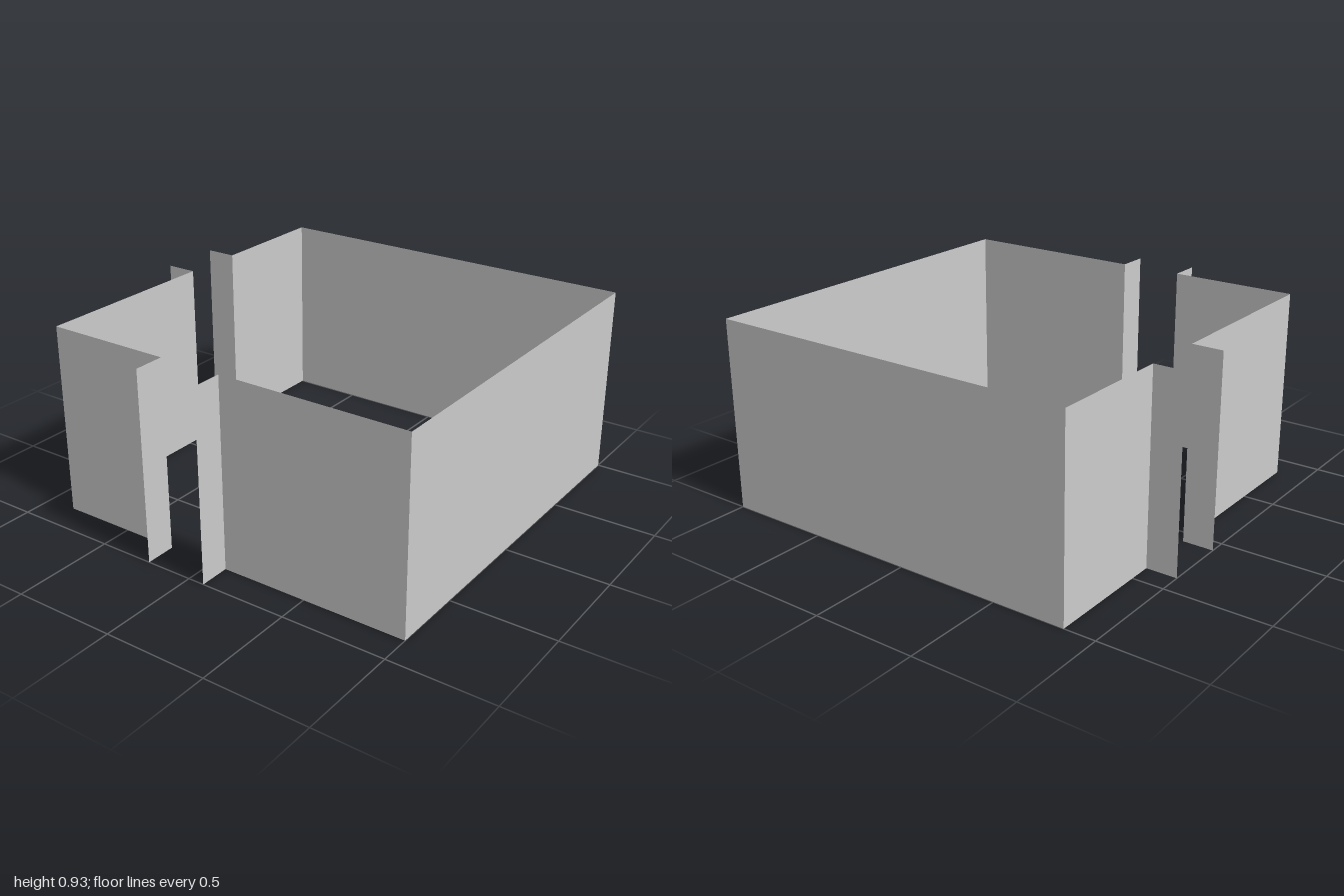
import * as THREE from 'three';

const HEIGHT = 0.925;
const material = new THREE.MeshStandardMaterial({ color: 0xcccccc, flatShading: true, side: THREE.DoubleSide });

// Thin upright panel between two floor points [x, z]
function panel(name, [x0, z0], [x1, z1]) {
  const geometry = new THREE.PlaneGeometry(Math.hypot(x1 - x0, z1 - z0), HEIGHT);
  const mesh = new THREE.Mesh(geometry, material);
  mesh.name = name;
  mesh.position.set((x0 + x1) / 2, HEIGHT / 2, (z0 + z1) / 2);
  mesh.rotation.y = -Math.atan2(z1 - z0, x1 - x0);
  return mesh;
}

// Run of panels along a floor path, one name per panel
function wallRun(name, path, names) {
  const group = new THREE.Group();
  group.name = name;
  names.forEach((n, i) => group.add(panel(n, path[i], path[i + 1])));
  return group;
}

export function createModel() {
  const model = new THREE.Group();
  model.name = 'walledEnclosure';

  // Long run round the front, ending in a doorway jamb at each end
  model.add(wallRun('mainWalls',
    [[-1, 0.08], [-0.85, 0.08], [-0.85, 1], [1, 1], [1, -0.85], [0.39, -0.85], [0.39, -1]],
    ['sideDoorFrontJamb', 'sideWallFront', 'frontWall', 'plainSideWall', 'backWallOuter', 'backDoorOuterJamb']));

  // Short corner run between the two doorways
  model.add(wallRun('cornerWalls',
    [[-1, -0.23], [-0.85, -0.23], [-0.85, -0.85], [0.08, -0.85], [0.08, -1]],
    ['sideDoorBackJamb', 'sideWallBack', 'backWallCorner', 'backDoorInnerJamb']));

  return model;
}
